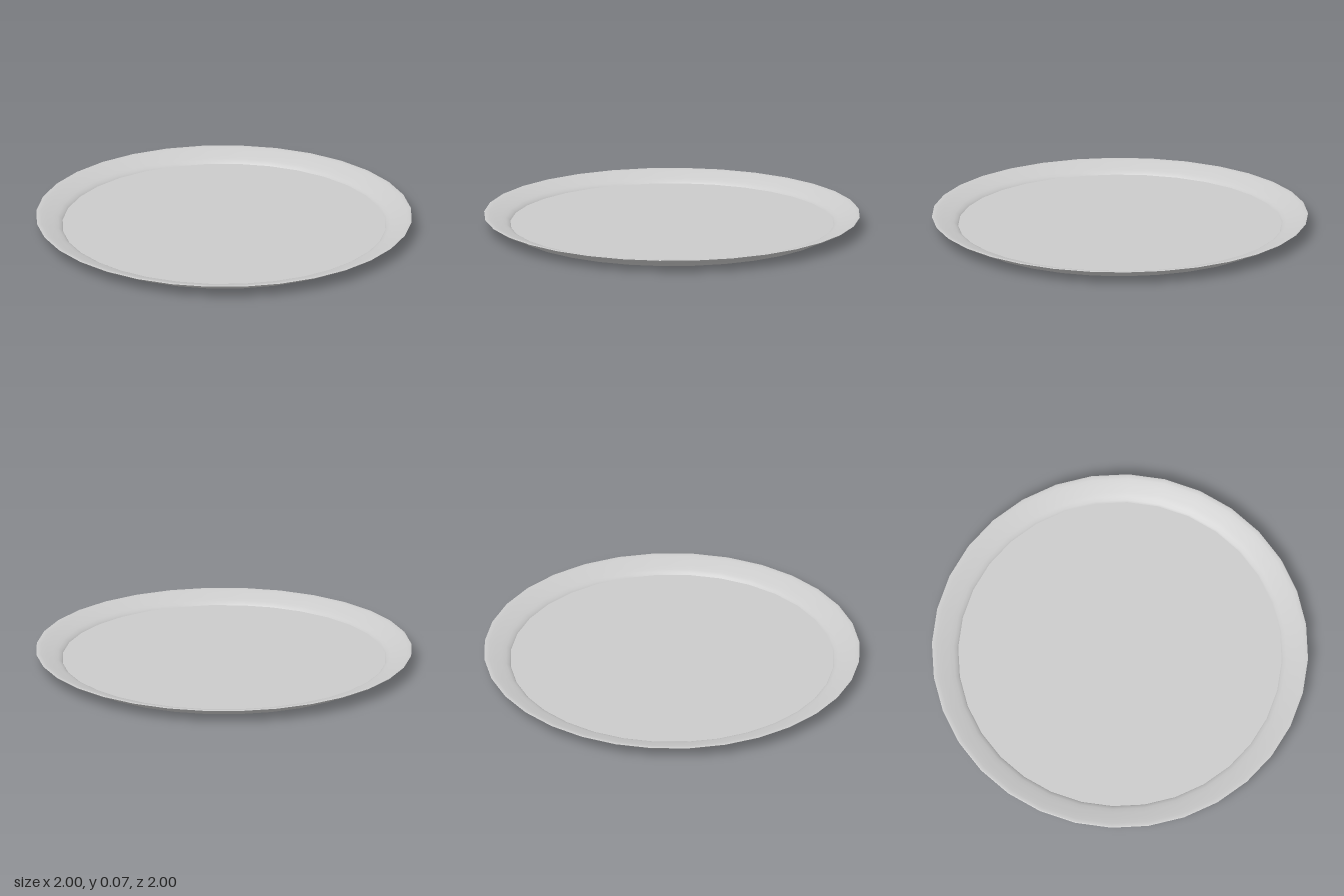
import * as THREE from 'three';

const SIDES = 32;

// Revolves a list of [radius, height] points around the y axis
function revolve(name, profile) {
  const points = profile.map(([r, y]) => new THREE.Vector2(r, y));
  const mesh = new THREE.Mesh(
    new THREE.LatheGeometry(points, SIDES),
    new THREE.MeshStandardMaterial({ color: 0xcccccc })
  );
  mesh.name = name;
  return mesh;
}

export function createModel() {
  const plate = new THREE.Group();
  plate.name = 'plate';

  plate.add(
    // Flat base and flared outside, up to the lip
    revolve('underside', [
      [0, 0], [0.8, 0], [0.84, 0.002], [0.875, 0.01], [0.9, 0.024],
      [0.92, 0.034], [0.96, 0.05], [0.99, 0.063], [1, 0.071],
    ]),
    // Sloping rim, steepest where it meets the floor
    revolve('rim', [
      [1, 0.071], [0.993, 0.073], [0.975, 0.07], [0.945, 0.061],
      [0.91, 0.05], [0.885, 0.041], [0.868, 0.032], [0.86, 0.022],
    ]),
    // Flat eating surface with a sharp edge against the rim
    revolve('floor', [[0.86, 0.022], [0, 0.022]])
  );

  return plate;
}
